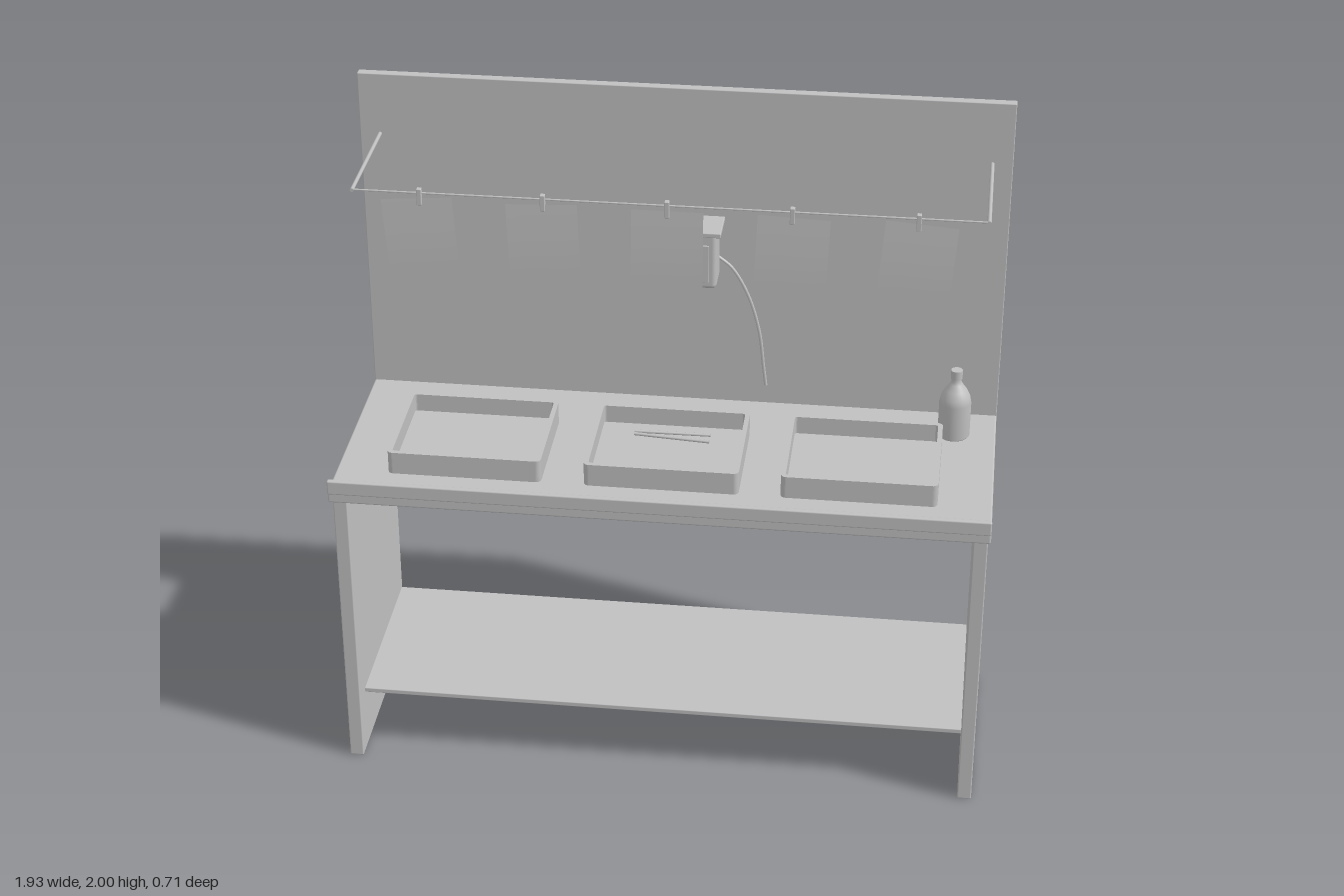
import * as THREE from 'three';
import { RoundedBoxGeometry } from 'three/addons/geometries/RoundedBoxGeometry.js';

export function createModel() {
  const root = new THREE.Group();
  root.name = 'darkroomBench';
  const grey = new THREE.MeshStandardMaterial({ color: 0xc0c0c0 });
  grey.name = 'plain grey';
  const paper = new THREE.MeshStandardMaterial({ color: 0xc0c0c0, side: THREE.DoubleSide });
  paper.name = 'paper grey';

  const add = (name, geometry, parent = root, material = grey) => {
    const mesh = new THREE.Mesh(geometry, material);
    mesh.name = name;
    parent.add(mesh);
    return mesh;
  };
  // Softened box given by its lower and upper bounds
  const box = (name, [x0, x1], [y0, y1], [z0, z1], r = 0.003, parent = root) => {
    const mesh = add(name, new RoundedBoxGeometry(x1 - x0, y1 - y0, z1 - z0, 2, r), parent);
    mesh.position.set((x0 + x1) / 2, (y0 + y1) / 2, (z0 + z1) / 2);
    return mesh;
  };
  // Straight round rod between two points
  const rod = (name, a, b, r, sides = 8) => {
    const from = new THREE.Vector3(...a), to = new THREE.Vector3(...b);
    const dir = to.clone().sub(from);
    const mesh = add(name, new THREE.CylinderGeometry(r, r, dir.length(), sides));
    mesh.position.copy(from).add(to).multiplyScalar(0.5);
    mesh.quaternion.setFromUnitVectors(new THREE.Vector3(0, 1, 0), dir.normalize());
    return mesh;
  };

  // Bench: worktop, front lip, side panels, shelf and back board
  box('worktop', [-0.965, 0.965], [0.93, 0.97], [-0.35, 0.35], 0.006);
  box('frontLip', [-0.965, 0.965], [0.96, 1.005], [0.338, 0.355], 0.005);
  box('backBoard', [-0.965, 0.965], [0.966, 2], [-0.352, -0.324]);
  box('shelf', [-0.917, 0.917], [0.19, 0.206], [-0.315, 0.255]);
  for (const [side, s] of [['left', 1], ['right', -1]]) {
    const edges = [0.915 * s, 0.957 * s].sort((a, b) => a - b);
    box(side + 'SidePanel', edges, [0, 0.932], [-0.322, 0.324], 0.004);
    rod(side + 'LineArm', [0.905 * s, 1.809, -0.326], [0.905 * s, 1.809, 0.07], 0.006);
  }

  // Three open trays with rounded corners
  const roundRect = (shape, w, d, r) => {
    const x = w / 2, y = d / 2;
    shape.moveTo(-x + r, -y).lineTo(x - r, -y);
    shape.absarc(x - r, -y + r, r, -Math.PI / 2, 0);
    shape.absarc(x - r, y - r, r, 0, Math.PI / 2);
    shape.absarc(-x + r, y - r, r, Math.PI / 2, Math.PI);
    shape.absarc(-x + r, -y + r, r, Math.PI, Math.PI * 1.5);
    return shape;
  };
  const wallShape = roundRect(new THREE.Shape(), 0.456, 0.366, 0.016);
  wallShape.holes.push(roundRect(new THREE.Path(), 0.428, 0.338, 0.008));
  const wallGeometry = new THREE.ExtrudeGeometry(wallShape, { depth: 0.07, bevelEnabled: false, curveSegments: 4 });
  wallGeometry.rotateX(-Math.PI / 2);
  [-0.582, 0, 0.578].forEach((x, i) => {
    const tray = new THREE.Group();
    tray.name = 'tray' + (i + 1);
    tray.position.set(x, 0.97, 0.046);
    root.add(tray);
    add('trayWalls', wallGeometry, tray);
    box('trayFloor', [-0.216, 0.216], [0, 0.014], [-0.171, 0.171], 0.002, tray);
  });

  // Tongs resting over the middle tray
  rod('tongArmBack', [-0.1, 1.052, 0.038], [0.125, 1.046, 0.026], 0.005);
  rod('tongArmFront', [-0.1, 1.052, 0.053], [0.125, 1.046, 0.065], 0.005);

  // Bottle
  const profile = [[0, 0], [0.044, 0], [0.048, 0.005], [0.048, 0.115], [0.044, 0.135], [0.033, 0.157],
    [0.019, 0.176], [0.015, 0.186], [0.015, 0.196]];
  add('bottle', new THREE.LatheGeometry(profile.map((p) => new THREE.Vector2(...p)), 24))
    .position.set(0.838, 0.97, -0.196);
  add('bottleCap', new THREE.CylinderGeometry(0.0175, 0.0175, 0.028, 20)).position.set(0.838, 1.178, -0.196);

  // Wall lamp with hood, window and hanging cord
  box('lampHousing', [-0.112, 0.112], [1.4, 1.585], [-0.328, -0.225], 0.014);
  box('lampHood', [-0.128, 0.126], [1.58, 1.595], [-0.328, -0.205]);
  box('lampWindow', [-0.09, 0.09], [1.424, 1.545], [-0.229, -0.221], 0.002);
  const cord = new THREE.CatmullRomCurve3([[0.105, 1.468], [0.15, 1.43], [0.2, 1.34], [0.235, 1.22],
    [0.25, 1.1], [0.258, 1.035]].map(([x, y]) => new THREE.Vector3(x, y, -0.317)));
  add('lampCord', new THREE.TubeGeometry(cord, 32, 0.005, 8));

  // Drying line with pegged, slightly curled sheets
  rod('dryingLine', [-0.908, 1.81, 0.067], [0.908, 1.81, 0.067], 0.003);
  [-0.71, -0.355, 0, 0.355, 0.71].forEach((x, i) => {
    box('peg' + (i + 1), [x - 0.007, x + 0.007], [1.775, 1.825], [0.06, 0.077], 0.002);
    const sheet = new THREE.PlaneGeometry(0.206, 0.257, 4, 6);
    const p = sheet.attributes.position;
    for (let v = 0; v < p.count; v++) {
      const drop = 0.5 - p.getY(v) / 0.257;
      p.setZ(v, 0.007 * Math.sin(drop * Math.PI * 0.6));
    }
    sheet.computeVertexNormals();
    const mesh = add('sheet' + (i + 1), sheet, root, paper);
    mesh.position.set(x, 1.664, 0.066);
    mesh.rotation.z = (2 - i) * 0.04;
  });
  return root;
}
